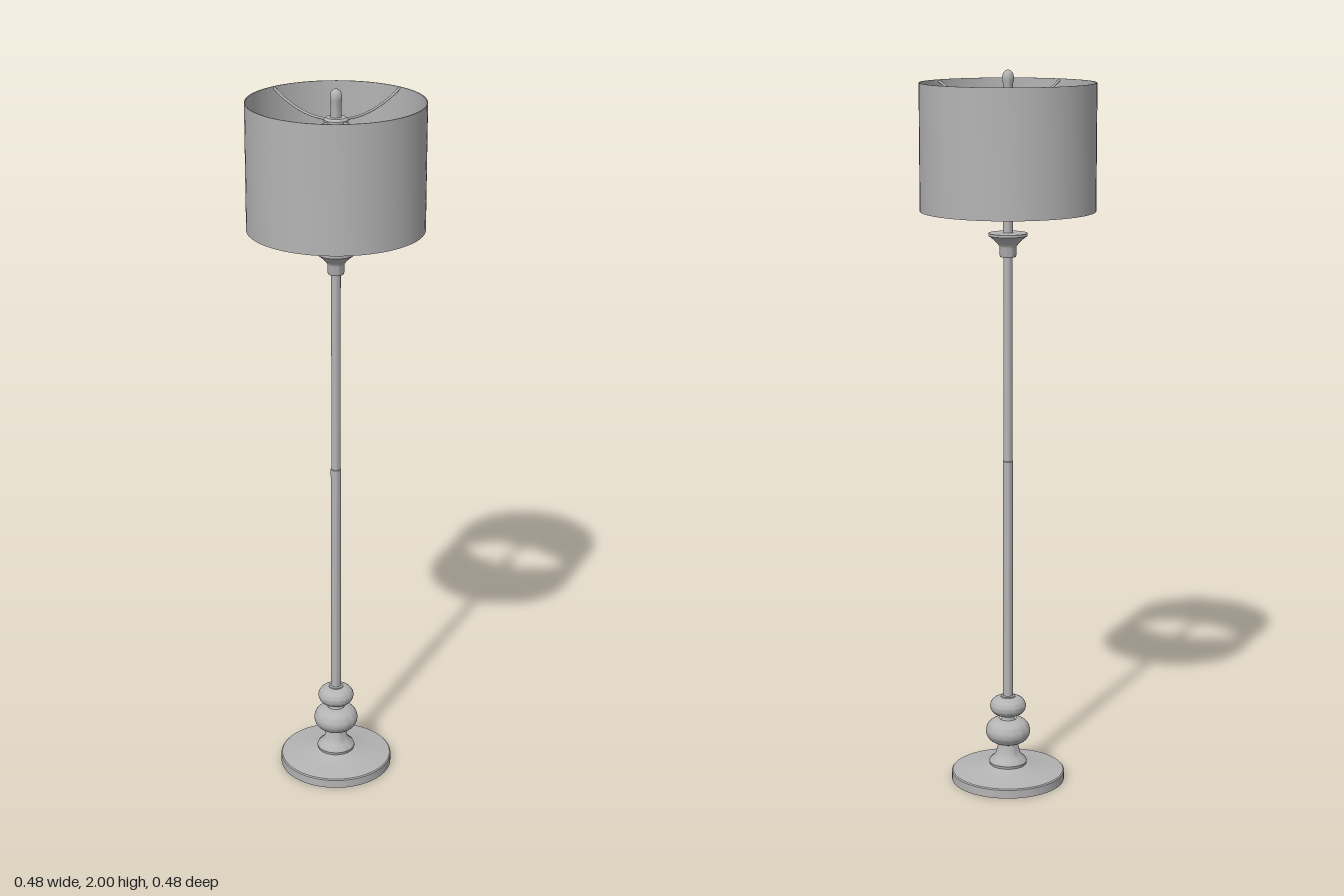
import * as THREE from 'three';
import { toCreasedNormals } from 'three/addons/utils/BufferGeometryUtils.js';

const grey = new THREE.MeshStandardMaterial({ color: 0xb4b4b4 });
grey.name = 'satin grey';

export function createModel() {
  const lamp = new THREE.Group();
  lamp.name = 'floorLamp';

  const add = (name, geometry, parent = lamp) => {
    const mesh = new THREE.Mesh(geometry, grey);
    mesh.name = name;
    parent.add(mesh);
    return mesh;
  };
  // Turned part from [radius, height] pairs, listed bottom to top
  const turned = (name, profile, segments = 48) => add(name, toCreasedNormals(
    new THREE.LatheGeometry(profile.map(([r, y]) => new THREE.Vector2(r, y)), segments), 0.6));
  // Rounded bead profile between two necks
  const bead = (y, radius, halfHeight, neck) => {
    const points = [];
    for (let i = 0; i <= 14; i++) {
      const a = -Math.PI / 2 + Math.PI * i / 14;
      points.push([neck + (radius - neck) * Math.cos(a), y + halfHeight * Math.sin(a)]);
    }
    return points;
  };
  const wire = (name, points, radius, parent) => add(name, new THREE.TubeGeometry(
    new THREE.CatmullRomCurve3(points.map(p => new THREE.Vector3(...p))), 32, radius, 8), parent);

  // Weighted foot with its collar
  turned('base', [[0, 0], [0.16, 0], [0.16, 0.024], [0.157, 0.027], [0.11, 0.033], [0.06, 0.041],
    [0.052, 0.044], [0.054, 0.052], [0.05, 0.06], [0.04, 0.068], [0.033, 0.08], [0.029, 0.1], [0.026, 0.112]], 64);

  // Stacked beads
  turned('lowerBead', bead(0.143, 0.063, 0.036, 0.024));
  turned('beadNeck', [[0.024, 0.172], [0.018, 0.181], [0.018, 0.19], [0.023, 0.198]]);
  turned('upperBead', bead(0.217, 0.051, 0.027, 0.02));
  turned('poleCollar', [[0.022, 0.238], [0.02, 0.247], [0.013, 0.249]]);

  // Pole in two sections
  turned('lowerPole', [[0.0145, 0.24], [0.0145, 0.93], [0.0125, 0.932]], 24);
  turned('upperPole', [[0.0128, 0.93], [0.0128, 1.505]], 24);

  // Flared cup and socket stem
  turned('cup', [[0.012, 1.497], [0.021, 1.499], [0.023, 1.505], [0.023, 1.527], [0.029, 1.536],
    [0.042, 1.548], [0.053, 1.557], [0.053, 1.564], [0.012, 1.565]]);
  turned('stem', [[0.014, 1.56], [0.014, 1.655], [0, 1.655]], 24);
  turned('socket', [[0.012, 1.65], [0.021, 1.655], [0.021, 1.69], [0.017, 1.695],
    [0.017, 1.745], [0.014, 1.75], [0, 1.75]], 24);

  // Harp: two mirrored wires from the socket to the hub
  const harp = new THREE.Group();
  harp.name = 'harp';
  lamp.add(harp);
  for (const s of [-1, 1]) {
    wire('harpWire', [[0.015 * s, 1.65, 0], [0.026 * s, 1.655, 0], [0.03 * s, 1.69, 0],
      [0.042 * s, 1.77, 0], [0.042 * s, 1.84, 0], [0.03 * s, 1.89, 0], [0, 1.912, 0]], 0.0035, harp);
  }

  // Hub and finial
  turned('hub', [[0, 1.905], [0.026, 1.905], [0.032, 1.911], [0.032, 1.919], [0.026, 1.925], [0, 1.926]], 32);
  turned('finial', [[0.014, 1.922], [0.014, 1.965], [0.016, 1.972], [0.016, 1.982],
    [0.013, 1.992], [0.007, 1.998], [0, 2]], 24);

  // Four curved arms holding the shade
  const spider = new THREE.Group();
  spider.name = 'shadeArms';
  lamp.add(spider);
  for (let i = 0; i < 4; i++) {
    wire('shadeArm', [[0.02, 1.915, 0], [0.08, 1.913, 0], [0.14, 1.922, 0], [0.2, 1.943, 0], [0.236, 1.962, 0]],
      0.0035, spider).rotation.y = i * Math.PI / 2;
  }

  // Thin drum shade, open at both ends
  turned('shade', [[0.235, 1.624], [0.238, 1.624], [0.238, 1.966], [0.235, 1.966], [0.235, 1.624]], 64);

  return lamp;
}
